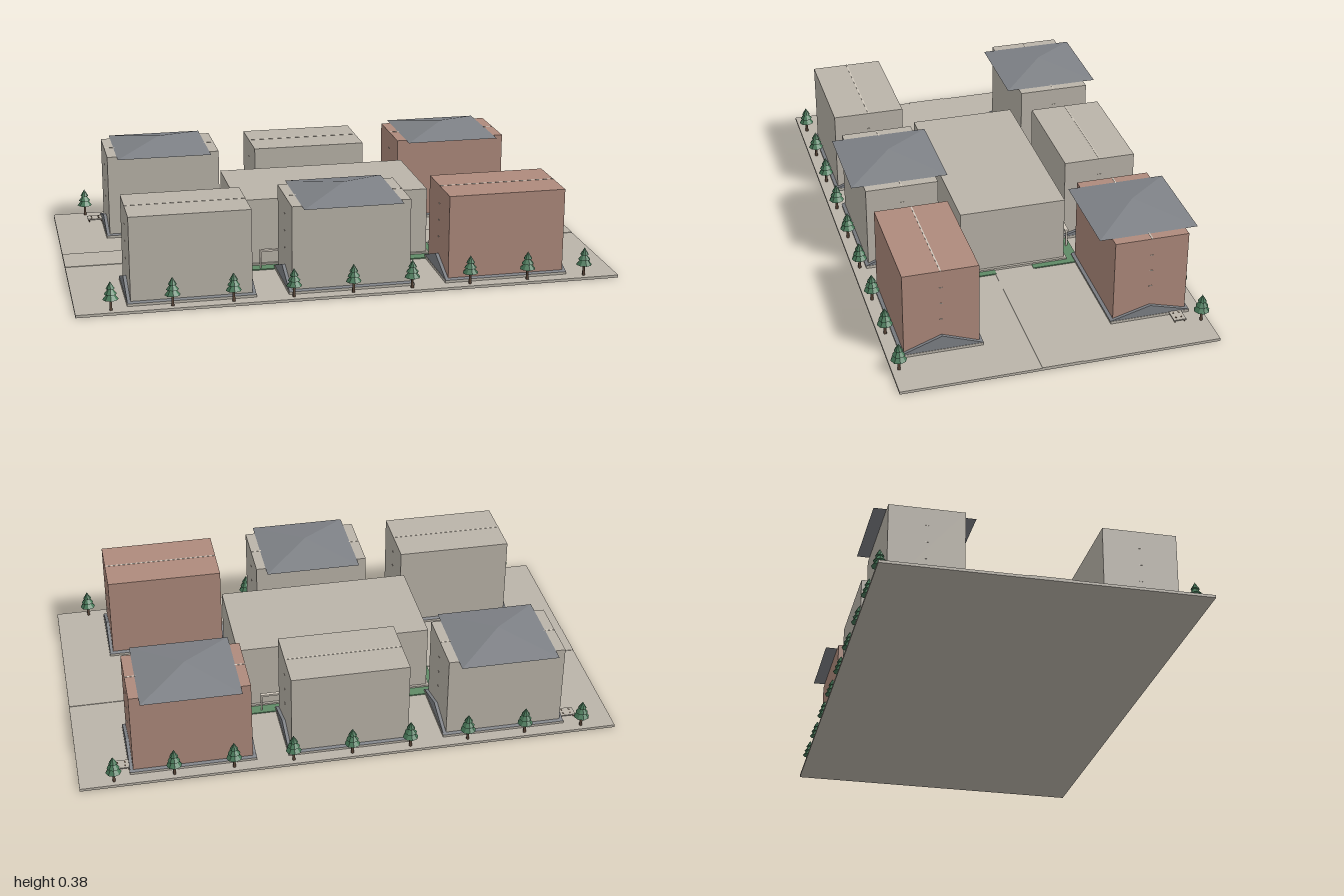
import * as THREE from 'three';

const mat = (name, color) => Object.assign(new THREE.MeshStandardMaterial({ color }), { name });

export function createModel() {
  const stone = mat('stone', 0xbab4a9);
  const brick = mat('brick', 0xae8a7c);
  const slate = mat('slate', 0x7e8186);
  const trim = mat('trim', 0xd0c8bc);
  const lawn = mat('lawn', 0x5f8a66);
  const needles = mat('needles', 0x477858);
  const bark = mat('bark', 0x5a4638);
  needles.flatShading = slate.flatShading = true;

  const model = new THREE.Group();
  model.name = 'campus';

  const add = (parent, name, geometry, material, x = 0, y = 0, z = 0) => {
    const mesh = new THREE.Mesh(geometry, material);
    mesh.name = name;
    mesh.position.set(x, y, z);
    parent.add(mesh);
    return mesh;
  };
  // Box given by its centre in plan and its bottom and top heights
  const block = (parent, name, material, x, z, w, d, y0, y1) =>
    add(parent, name, new THREE.BoxGeometry(w, y1 - y0, d), material, x, (y0 + y1) / 2, z);

  // Ground slab and the cross path
  block(model, 'ground', stone, 0, 0, 2, 1.16, 0, 0.01);
  block(model, 'path', stone, 0, 0, 2, 0.15, 0.01, 0.012);

  // Central hall on its platform
  block(model, 'hallPlatform', stone, 0, 0, 0.75, 0.42, 0.01, 0.02);
  block(model, 'hall', stone, 0, 0, 0.73, 0.4, 0.02, 0.27);

  // Low gable skirt around the foot of a building, ridge along x
  const skirtGeometry = (width, depth, height) => {
    const s = new THREE.Shape();
    s.moveTo(-depth / 2, 0);
    s.lineTo(depth / 2, 0);
    s.lineTo(0, height);
    s.closePath();
    return new THREE.ExtrudeGeometry(s, { depth: width, bevelEnabled: false })
      .translate(0, 0, -width / 2).rotateY(Math.PI / 2);
  };

  // Square hipped roof
  const roofGeometry = new THREE.ConeGeometry(0.365 / Math.SQRT2, 0.039, 4, 1).rotateY(Math.PI / 4);

  const building = (name, x, z, wall, roofed) => {
    const g = new THREE.Group();
    g.name = name;
    g.position.set(x, 0, z);
    model.add(g);
    block(g, 'plinth', stone, 0, 0, 0.465, 0.295, 0.01, 0.02);
    block(g, 'walls', wall, 0, 0, 0.438, 0.273, 0.02, 0.337);
    add(g, 'gableSkirt', skirtGeometry(0.462, 0.298, z > 0 ? 0.055 : 0.042), slate, 0, 0.02, 0);
    // Floor bands showing at the end walls and along the top
    for (const y of [0.14, 0.205, 0.27]) block(g, 'floorBand', trim, 0, 0, 0.442, 0.012, y - 0.001, y + 0.001);
    block(g, 'ridgeBand', trim, 0, 0, 0.438, 0.005, 0.336, 0.338);
    if (roofed) add(g, 'roof', roofGeometry, slate, 0, 0.3565, 0);
  };
  building('frontRightBlock', -0.582, 0.383, stone, false);
  building('frontMiddleBlock', 0, 0.383, stone, true);
  building('frontLeftBlock', 0.582, 0.383, brick, false);
  building('backRightBlock', -0.582, -0.383, stone, true);
  building('backMiddleBlock', 0, -0.383, stone, false);
  building('backLeftBlock', 0.582, -0.383, brick, true);

  for (const s of [-1, 1]) {
    // Lawn strips wrapping the hall corners
    block(model, 'lawnStrip', lawn, 0, s * 0.232, 0.8, 0.044, 0.01, 0.014);
    for (const t of [-1, 1]) block(model, 'lawnEnd', lawn, t * 0.387, s * 0.163, 0.026, 0.182, 0.01, 0.014);

    // Slim walkway frame between the hall and the middle block
    const frame = new THREE.Group();
    frame.name = 'walkwayFrame';
    frame.position.z = s * 0.237;
    model.add(frame);
    block(frame, 'beam', trim, 0, 0, 0.575, 0.014, 0.078, 0.085);
    for (const t of [-1, 1]) block(frame, 'post', trim, t * 0.284, 0, 0.006, 0.007, 0.01, 0.08);

    // Outdoor table with stools at the outer back corners
    const table = new THREE.Group();
    table.name = 'outdoorTable';
    table.position.set(s * 0.84, 0, -0.478);
    model.add(table);
    block(table, 'tableTop', stone, 0, 0, 0.06, 0.046, 0.018, 0.022);
    for (const a of [-1, 1]) for (const b of [-1, 1]) {
      block(table, 'leg', bark, a * 0.025, b * 0.018, 0.004, 0.004, 0.01, 0.018);
      block(table, 'seat', bark, a * 0.014, b * 0.01, 0.005, 0.005, 0.022, 0.024);
    }
  }

  // Rows of conifers along the front and back edges
  const trunk = new THREE.CylinderGeometry(0.004, 0.006, 0.045, 6);
  const tiers = [[0.029, 0.052, 0.035], [0.023, 0.072, 0.028], [0.016, 0.091, 0.027]]
    .map(([r, y, h]) => new THREE.ConeGeometry(r, h, 8).translate(0, y + h / 2, 0));
  for (const z of [-0.556, 0.553]) for (let i = -4; i <= 4; i++) {
    const tree = new THREE.Group();
    tree.name = 'tree';
    tree.position.set(i * 0.2185, 0, z);
    model.add(tree);
    add(tree, 'trunk', trunk, bark, 0, 0.0325, 0);
    for (const t of tiers) add(tree, 'foliage', t, needles);
  }

  return model;
}
